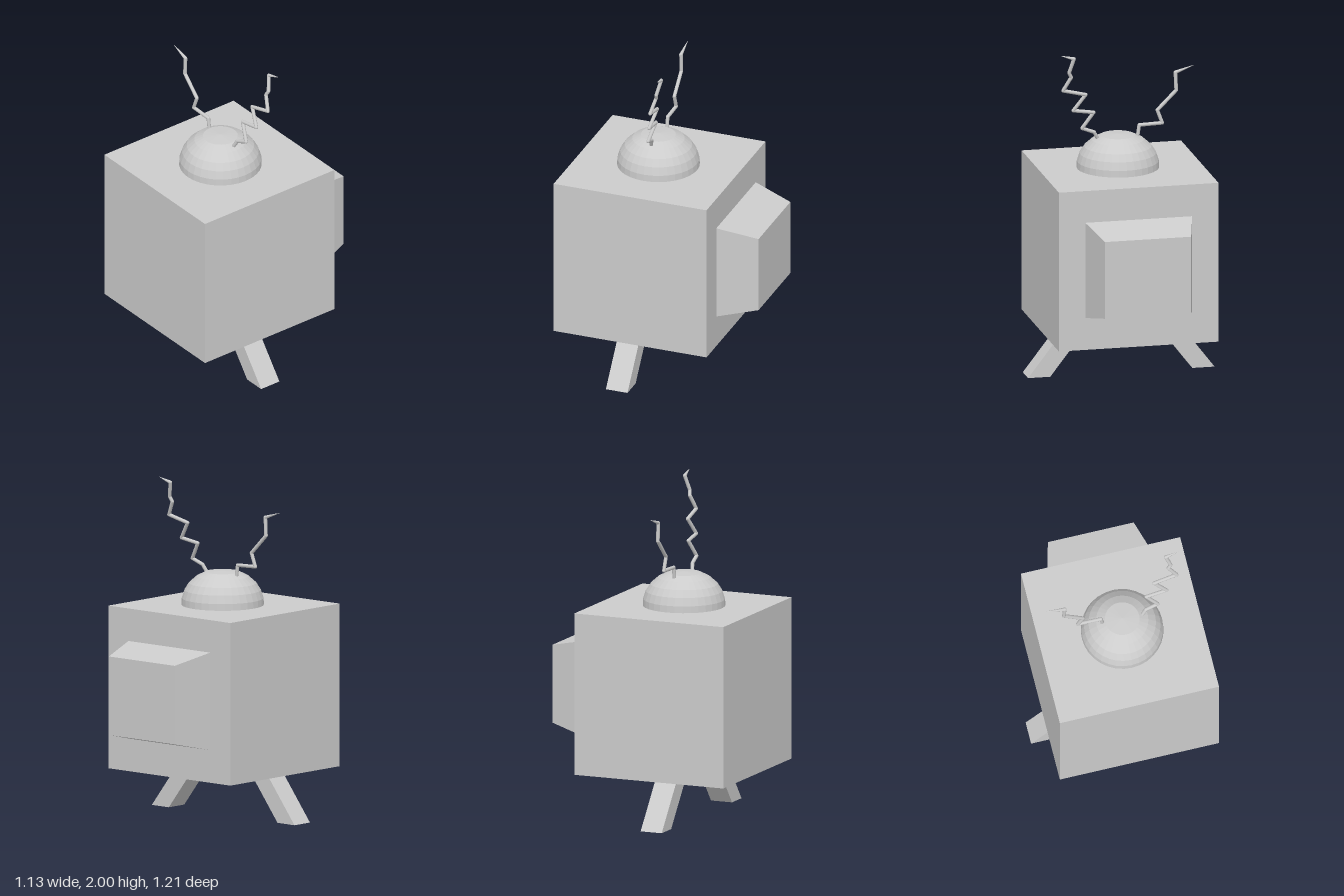
import * as THREE from 'three';

const grey = new THREE.MeshStandardMaterial({ color: 0xcccccc, flatShading: true });
const smooth = new THREE.MeshStandardMaterial({ color: 0xcccccc });

function part(parent, name, geometry, x = 0, y = 0, z = 0, material = grey) {
  const mesh = new THREE.Mesh(geometry, material);
  mesh.name = name;
  mesh.position.set(x, y, z);
  parent.add(mesh);
  return mesh;
}

// Zigzag rod: straight segments with round joints and a pointed last segment
function antenna(name, points, radius) {
  const group = new THREE.Group();
  group.name = name;
  const up = new THREE.Vector3(0, 1, 0);
  for (let i = 0; i < points.length - 1; i++) {
    const a = points[i], b = points[i + 1];
    const tip = i === points.length - 2;
    const dir = b.clone().sub(a);
    const mid = a.clone().add(b).multiplyScalar(0.5);
    const rod = part(group, tip ? 'antennaTip' : 'antennaSegment',
      new THREE.CylinderGeometry(tip ? 0.001 : radius, radius, dir.length(), 10),
      mid.x, mid.y, mid.z, smooth);
    rod.quaternion.setFromUnitVectors(up, dir.normalize());
    if (i > 0) part(group, 'antennaJoint', new THREE.SphereGeometry(radius, 10, 8), a.x, a.y, a.z, smooth);
  }
  return group;
}

export function createModel() {
  const model = new THREE.Group();
  model.name = 'boxTelevision';

  // Cabinet
  part(model, 'cabinet', new THREE.BoxGeometry(0.97, 0.975, 0.97), 0.005, 0.7725, 0.12);

  // Rear housing: a box whose back face is narrowed
  const housing = new THREE.BoxGeometry(0.65, 0.585, 0.245);
  const pos = housing.attributes.position;
  for (let i = 0; i < pos.count; i++) {
    if (pos.getZ(i) < 0) pos.setXY(i, pos.getX(i) * 0.805, pos.getY(i) * 0.805);
  }
  part(model, 'rearHousing', housing, 0.005, 0.773, -0.4865);

  // Domed antenna base
  const profile = [[0.245, 0], [0.243, 0.04], [0.227, 0.088], [0.2, 0.13], [0.155, 0.17], [0.103, 0.196], [0, 0.204]]
    .map(([r, y]) => new THREE.Vector2(r, y));
  part(model, 'antennaBase', new THREE.LatheGeometry(profile, 32), 0.018, 1.26, 0.122);

  // Splayed legs, sheared outward
  for (const [side, name] of [[1, 'leftLeg'], [-1, 'rightLeg']]) {
    const shape = new THREE.Shape(
      [[0.21, 0.287], [0.345, 0.287], [0.567, 0], [0.432, 0]].map(([x, y]) => new THREE.Vector2(side * x, y)));
    part(model, name, new THREE.ExtrudeGeometry(shape, { depth: 0.137, bevelEnabled: false }), 0, 0, 0.107);
  }

  // Antennas: the right one upright, the left one leaning back
  const right = [[-0.1, 1.44], [-0.11, 1.51], [-0.25, 1.515], [-0.22, 1.595], [-0.335, 1.71], [-0.33, 1.82], [-0.44, 1.857]];
  const left = [[0.14, 1.44], [0.165, 1.485], [0.24, 1.515], [0.175, 1.615], [0.3, 1.635], [0.23, 1.735],
    [0.37, 1.77], [0.325, 1.855], [0.34, 1.885], [0.315, 1.975], [0.395, 2]];
  model.add(antenna('rightAntenna', right.map(([x, y]) => new THREE.Vector3(x, y, 0.113)), 0.011));
  model.add(antenna('leftAntenna', left.map(([x, y]) => new THREE.Vector3(x, y, 0.12 - (y - 1.44) * 0.243)), 0.011));

  return model;
}
